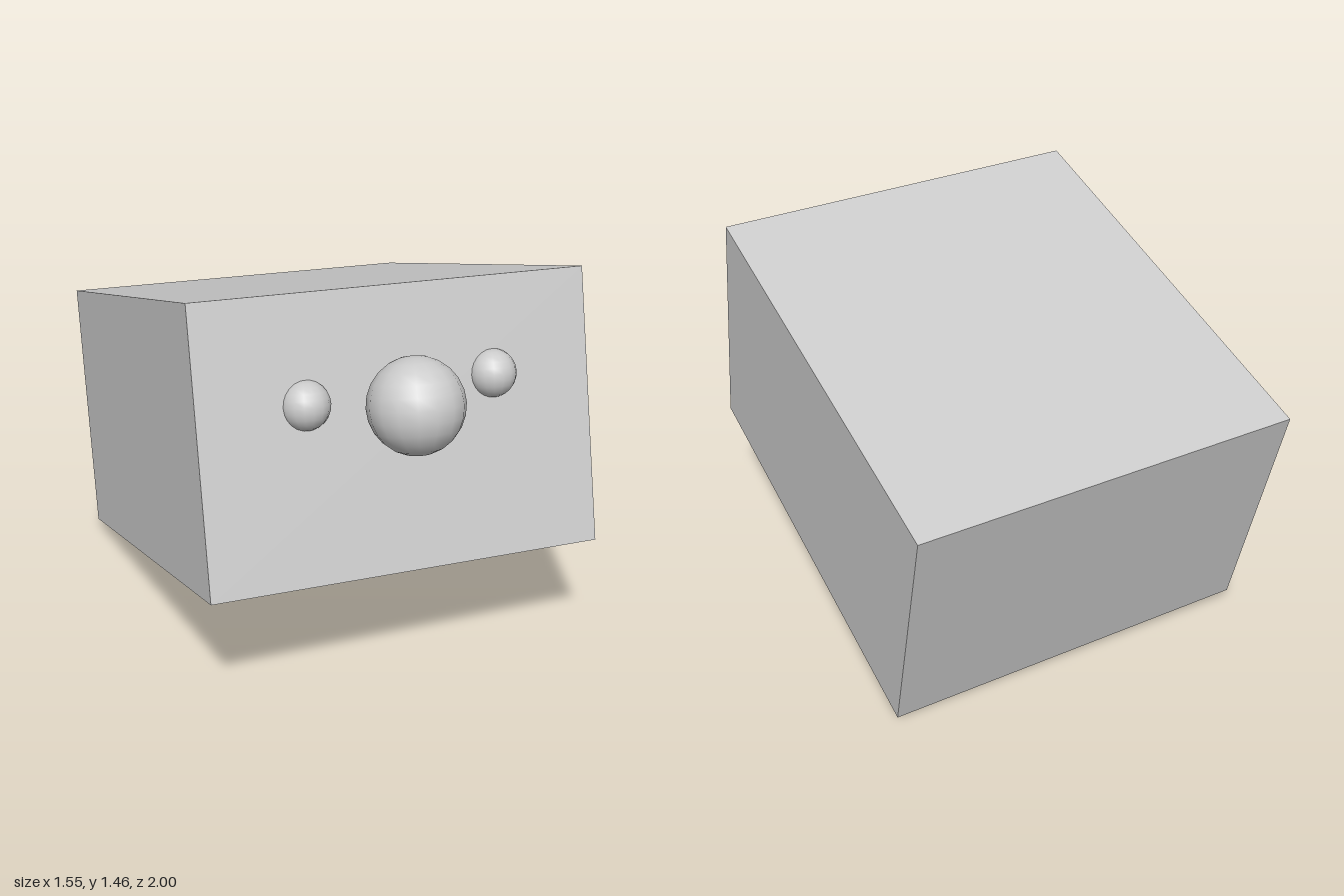
import * as THREE from 'three';

export function createModel() {
  const material = new THREE.MeshStandardMaterial({ color: 0xcccccc });
  const model = new THREE.Group();
  model.name = 'model';

  // Everything sits in one tilted frame centred on the block
  const head = new THREE.Group();
  head.name = 'head';
  head.position.set(0, 0.735, -0.038);
  head.rotation.set(-0.277, 0.04, -0.02);
  model.add(head);

  const add = (name, geometry, x = 0, y = 0, z = 0) => {
    const mesh = new THREE.Mesh(geometry, material);
    mesh.name = name;
    mesh.position.set(x, y, z);
    head.add(mesh);
  };
  const ball = (radius) => new THREE.SphereGeometry(radius, 16, 12);

  // Solid block
  add('block', new THREE.BoxGeometry(1.462, 0.994, 1.676));

  // Large centre ball and the two small ones half sunk in the front face
  add('nose', ball(0.17), 0.013, 0.088, 0.926);
  add('rightEye', ball(0.087), -0.344, 0.121, 0.823);
  add('leftEye', ball(0.086), 0.355, 0.155, 0.829);

  return model;
}
